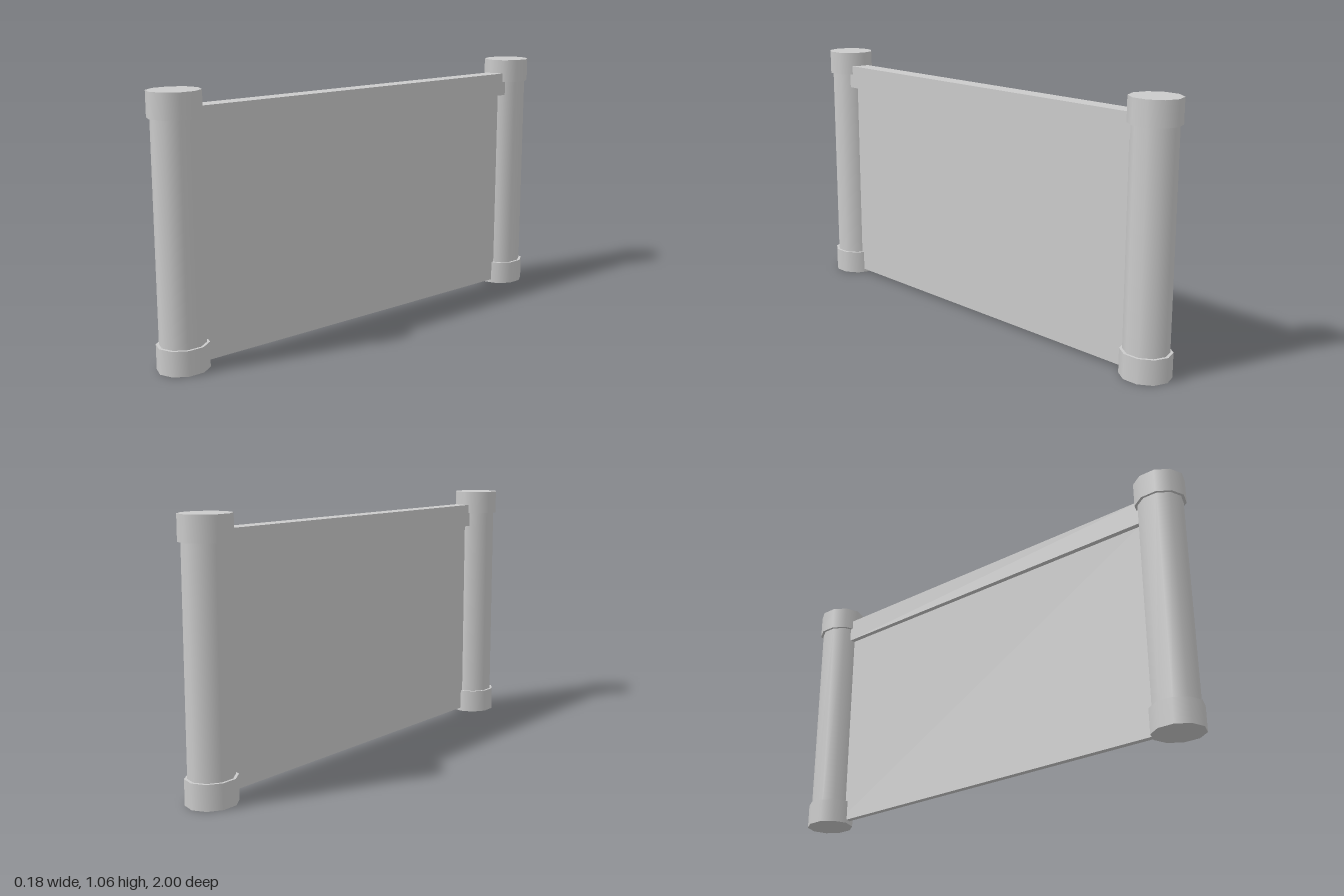
import * as THREE from 'three';

const material = new THREE.MeshStandardMaterial({ color: 0xcccccc });

// Ten-sided drum between two heights
function drum(name, radius, y0, y1) {
  const mesh = new THREE.Mesh(new THREE.CylinderGeometry(radius, radius, y1 - y0, 10), material);
  mesh.name = name;
  mesh.position.y = (y0 + y1) / 2;
  return mesh;
}

// Box given by its limits in x and y, centred on z
function slab(name, x0, x1, y0, y1, length) {
  const mesh = new THREE.Mesh(new THREE.BoxGeometry(x1 - x0, y1 - y0, length), material);
  mesh.name = name;
  mesh.position.set((x0 + x1) / 2, (y0 + y1) / 2, 0);
  return mesh;
}

export function createModel() {
  const model = new THREE.Group();
  model.name = 'fencePanel';

  // End posts with a base collar and a cap, slightly flattened across x
  for (const side of [1, -1]) {
    const post = new THREE.Group();
    post.name = side > 0 ? 'frontPost' : 'backPost';
    post.add(
      drum('base', 0.104, 0, 0.1),
      drum('shaft', 0.092, 0.08, 0.98),
      drum('cap', 0.104, 0.957, 1.056)
    );
    post.scale.x = 0.915;
    post.position.z = side * 0.896;
    model.add(post);
  }

  // Thin wall and the thicker rail along its top
  model.add(slab('panel', 0.002, 0.027, 0.015, 0.93, 1.7));
  model.add(slab('topRail', -0.02, 0.055, 0.897, 0.996, 1.66));
  return model;
}
